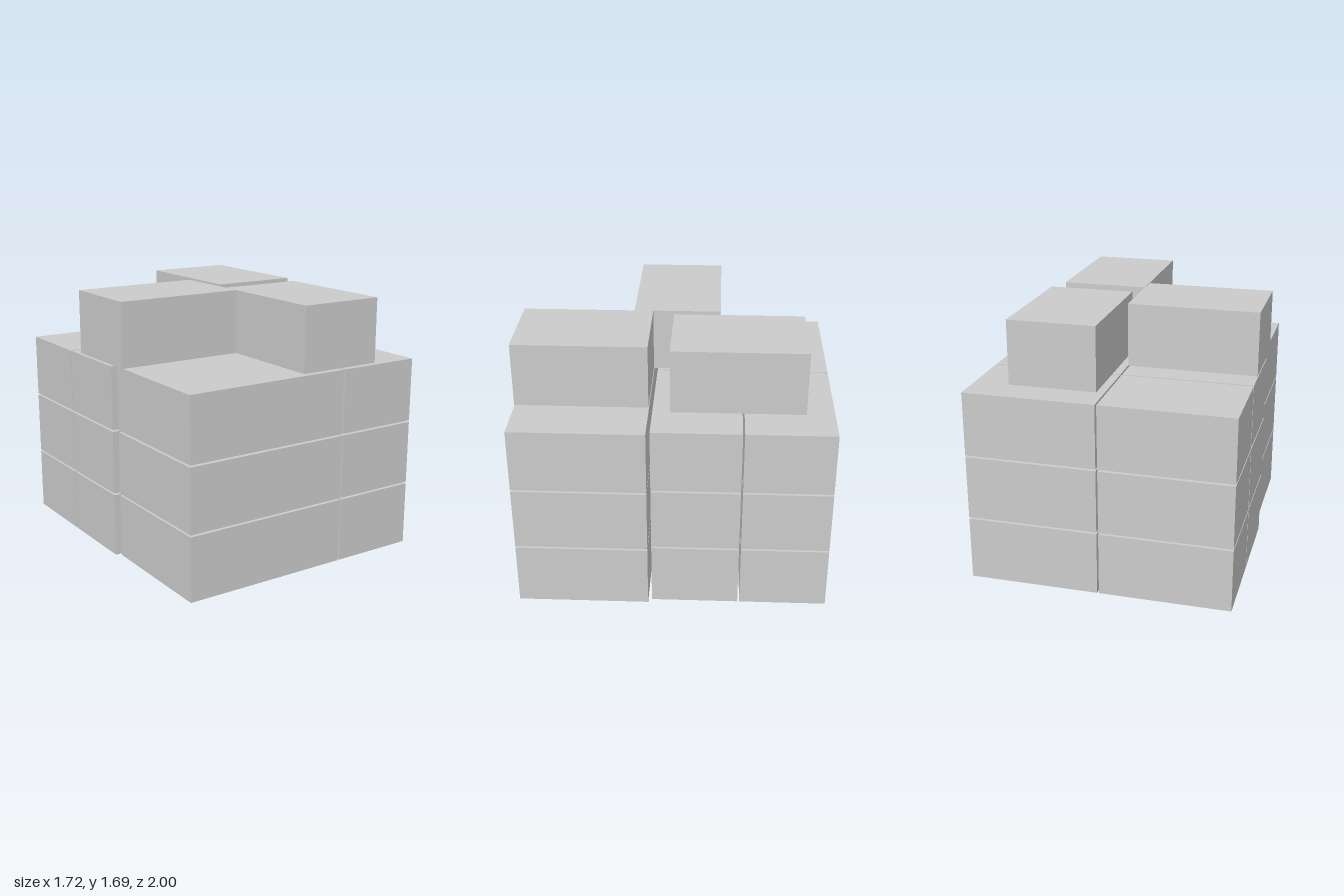
import * as THREE from 'three';

const HEIGHT = 0.413, PITCH = 0.425;

export function createModel() {
  const group = new THREE.Group();
  const material = new THREE.MeshStandardMaterial({ color: 0xcccccc, flatShading: true });

  // A carton given by its footprint and the height of its underside
  function addCarton(name, [x0, x1, z0, z1], y) {
    const mesh = new THREE.Mesh(new THREE.BoxGeometry(x1 - x0, HEIGHT, z1 - z0), material);
    mesh.position.set((x0 + x1) / 2, y + HEIGHT / 2, (z0 + z1) / 2);
    mesh.name = name;
    group.add(mesh);
  }

  // Footprints repeated in each full layer: [x0, x1, z0, z1]
  const layer = {
    backRightCarton: [-0.863, -0.021, -1, -0.44],
    backLeftCarton: [-0.01, 0.831, -1, -0.44],
    middleRightCarton: [-0.863, -0.021, -0.428, 0.132],
    middleLeftCarton: [-0.01, 0.831, -0.428, 0.132],
    frontWideCarton: [-0.832, 0.289, 0.155, 1],
    frontLeftCarton: [0.3, 0.861, 0.155, 1],
  };
  for (let i = 0; i < 3; i++) {
    for (const [name, footprint] of Object.entries(layer)) {
      addCarton(`${name}${i + 1}`, footprint, i * PITCH);
    }
  }

  // Loose cartons on top
  const top = {
    topFrontCarton: [-0.02, 0.54, 0.157, 0.998],
    topRightCarton: [-0.863, -0.021, -0.281, 0.279],
    topBackCarton: [0.032, 0.593, -0.821, 0.02],
  };
  for (const [name, footprint] of Object.entries(top)) addCarton(name, footprint, 3 * PITCH);

  return group;
}
